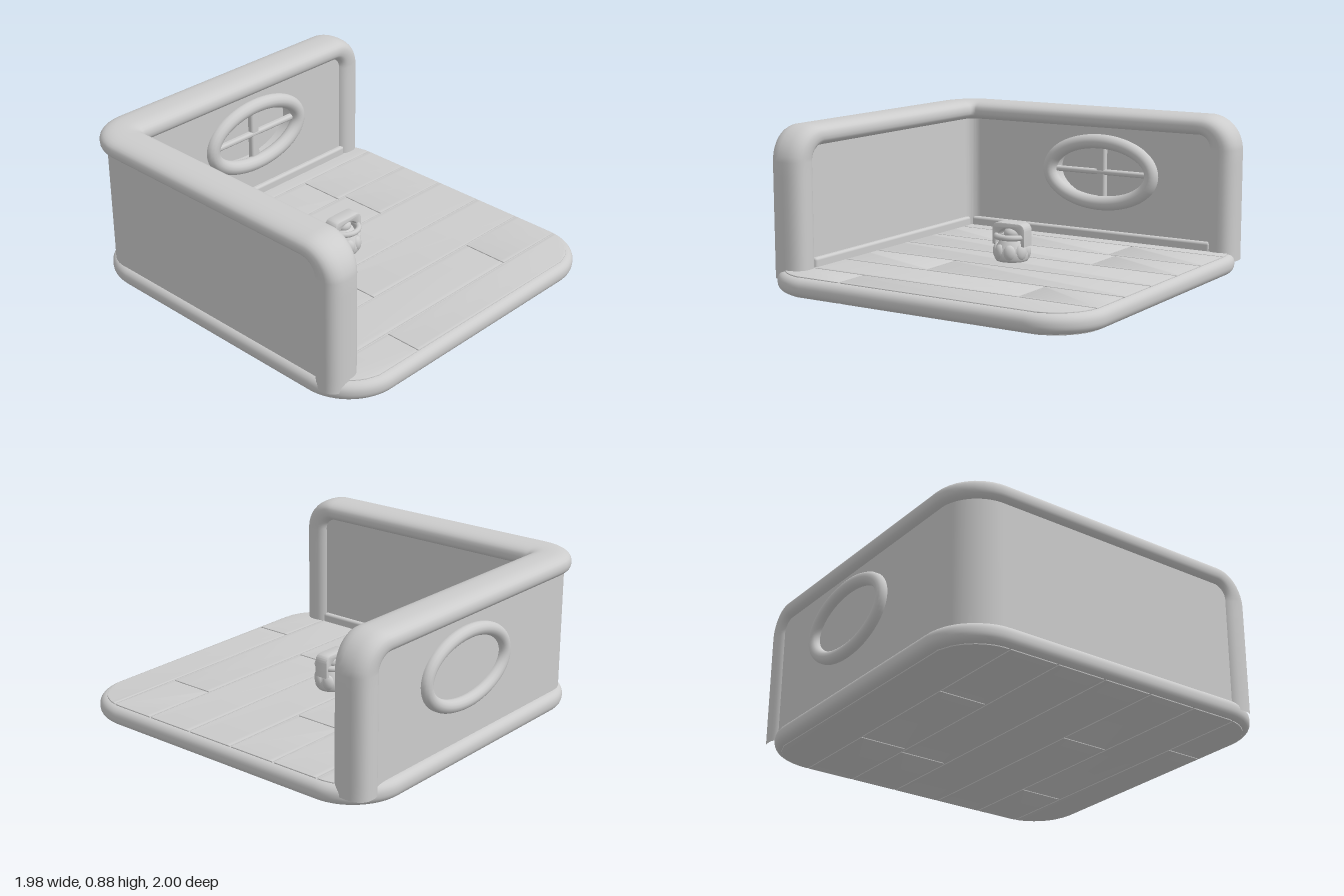
import * as THREE from 'three';
import { toCreasedNormals } from 'three/addons/utils/BufferGeometryUtils.js';
import { RoundedBoxGeometry } from 'three/addons/geometries/RoundedBoxGeometry.js';

const HX = 0.985, HZ = 1.0, CORNER = 0.3;   // floor half sizes and corner radius
const WALL = 0.875, BEND = 0.14;            // wall centre line and its corner radius
const C = WALL - BEND;

export function createModel() {
  const root = new THREE.Group();
  root.name = 'room';
  const clay = new THREE.MeshStandardMaterial({ color: 0xcccccc });
  clay.name = 'grey clay';

  const add = (name, geo, parent = root) => {
    const m = new THREE.Mesh(geo, clay);
    m.name = name;
    parent.add(m);
    return m;
  };
  // Extrude a plan (x, -z) upward from y0 to y1 with a rounded edge
  const slab = (shape, y0, y1, bevel, segs) => {
    const g = new THREE.ExtrudeGeometry(shape, {
      depth: y1 - y0 - 2 * bevel, bevelEnabled: bevel > 0, bevelThickness: bevel,
      bevelSize: bevel, bevelOffset: -bevel, bevelSegments: segs, curveSegments: 12,
    });
    g.rotateX(-Math.PI / 2).translate(0, y0 + bevel, 0);
    return toCreasedNormals(g, 0.7);
  };

  // Floor slab
  const plan = new THREE.Shape();
  const corner = (sx, sz, a) => plan.absarc(sx * (HX - CORNER), sz * (HZ - CORNER), CORNER, a, a + Math.PI / 2, false);
  corner(1, 1, 0); corner(-1, 1, Math.PI / 2); corner(-1, -1, Math.PI); corner(1, -1, Math.PI * 1.5);
  add('floorSlab', slab(plan, 0.005, 0.109, 0.046, 6));

  // Floor planks, rows from back to front with their joints, on both faces
  const IN = 0.04;
  const halfWidth = (z) => {
    const d = Math.max(0, Math.abs(z) - (HZ - CORNER)), r = CORNER - IN;
    return HX - CORNER + Math.sqrt(Math.max(0, r * r - d * d));
  };
  const rows = [-0.96, -0.69, -0.405, -0.115, 0.178, 0.467, 0.742, 0.96];
  const joints = [[], [-0.36, 0.38], [0.43], [], [-0.25], [0.5], [-0.45]];
  const planks = new THREE.Group();
  planks.name = 'planks';
  root.add(planks);
  joints.forEach((cuts, i) => {
    const xs = [-2, ...cuts, 2], gap = 0.005;
    for (let k = 0; k < xs.length - 1; k++) {
      const left = [], right = [];
      for (let j = 0; j <= 10; j++) {
        const z = THREE.MathUtils.lerp(rows[i] + gap, rows[i + 1] - gap, j / 10), w = halfWidth(z);
        left.push(new THREE.Vector2(Math.max(xs[k] + gap, -w), -z));
        right.unshift(new THREE.Vector2(Math.min(xs[k + 1] - gap, w), -z));
      }
      const shape = new THREE.Shape([...left, ...right]);
      add('plankTop', slab(shape, 0.104, 0.115, 0.005, 2), planks);
      add('plankUnderside', slab(shape, 0, 0.011, 0.005, 2), planks);
    }
  });

  // Back wall with an oval window opening
  const WX = 0.105, WY = 0.507;
  const back = new THREE.Shape([[-C, 0.09], [0.87, 0.09], [0.87, 0.82], [-C, 0.82]].map((p) => new THREE.Vector2(...p)));
  back.holes.push(new THREE.Path().absellipse(WX, WY, 0.31, 0.18, 0, Math.PI * 2, true));
  add('backWall', toCreasedNormals(new THREE.ExtrudeGeometry(back,
    { depth: 0.15, bevelEnabled: false, curveSegments: 48 }).translate(0, 0, -0.955), 0.6));

  // Left wall with the rounded room corner
  const side = new THREE.Shape();
  side.moveTo(-WALL - 0.08, -0.795);
  side.lineTo(-WALL + 0.07, -0.795);
  side.lineTo(-WALL + 0.07, C);
  side.absarc(-C, C, BEND - 0.07, Math.PI, Math.PI / 2, true);
  side.lineTo(-C, WALL + 0.08);
  side.absarc(-C, C, BEND + 0.08, Math.PI / 2, Math.PI, false);
  add('leftWall', slab(side, 0.09, 0.82, 0, 1));

  // Point and inward normal on the bent wall at distance s from its right end
  const L1 = 0.87 + C, LA = BEND * Math.PI / 2, L2 = 0.795 + C, S = L1 + LA + L2;
  const onWall = (s, y) => {
    if (s < L1) return { p: new THREE.Vector3(0.87 - s, y, -WALL), n: new THREE.Vector3(0, 0, 1) };
    if (s > L1 + LA) return { p: new THREE.Vector3(-WALL, y, -C + s - L1 - LA), n: new THREE.Vector3(1, 0, 0) };
    const a = (s - L1) / BEND, n = new THREE.Vector3(Math.sin(a), 0, Math.cos(a));
    return { p: new THREE.Vector3(-C, y, -C).addScaledVector(n, -BEND), n };
  };

  // Padded frame: post, rail round the corner, post
  const TOP = 0.822, R = 0.13, path = [];
  const postSize = [0.104, 0.085], railSize = [0.118, 0.06];
  const put = (s, y, k) => path.push({ ...onWall(s, y), k });
  for (let i = 0; i < 8; i++) put(0, THREE.MathUtils.lerp(0.06, TOP - R, i / 8), 0);
  for (let i = 0; i < 10; i++) {
    const a = i / 10 * Math.PI / 2;
    put(R - R * Math.cos(a), TOP - R + R * Math.sin(a), i / 10);
  }
  for (let i = 0; i <= 120; i++) put(THREE.MathUtils.lerp(R, S - R, i / 120), TOP, 1);
  for (let i = 1; i <= 10; i++) {
    const a = i / 10 * Math.PI / 2;
    put(S - R + R * Math.sin(a), TOP - R + R * Math.cos(a), 1 - i / 10);
  }
  for (let i = 1; i <= 8; i++) put(S, THREE.MathUtils.lerp(TOP - R, 0.06, i / 8), 0);

  const N = 28, pos = [], idx = [];
  const soft = (v) => Math.sign(v) * Math.abs(v) ** 0.8;
  path.forEach(({ p, n, k }, i) => {
    const t = path[Math.min(i + 1, path.length - 1)].p.clone().sub(path[Math.max(i - 1, 0)].p).normalize();
    const b = t.clone().cross(n).normalize();
    const hw = THREE.MathUtils.lerp(postSize[0], railSize[0], k), hh = THREE.MathUtils.lerp(postSize[1], railSize[1], k);
    for (let j = 0; j < N; j++) {
      const a = j / N * Math.PI * 2;
      const v = p.clone().addScaledVector(n, hw * soft(Math.cos(a))).addScaledVector(b, hh * soft(Math.sin(a)));
      pos.push(v.x, v.y, v.z);
      if (i === path.length - 1) continue;
      const A = i * N + j, B = i * N + (j + 1) % N;
      idx.push(A, B, B + N, A, B + N, A + N);
    }
  });
  const frame = new THREE.BufferGeometry();
  frame.setAttribute('position', new THREE.Float32BufferAttribute(pos, 3));
  frame.setIndex(idx);
  frame.computeVertexNormals();
  add('wallFrame', frame);

  // Skirting along the foot of both walls
  add('backSkirting', new RoundedBoxGeometry(1.6, 0.07, 0.04, 3, 0.015)).position.set(0.02, 0.13, -0.8);
  add('leftSkirting', new RoundedBoxGeometry(0.04, 0.07, 1.5, 3, 0.015)).position.set(-0.8, 0.13, -0.02);

  // Oval window: inner and outer rings, blind pane, cross bars
  const win = new THREE.Group();
  win.name = 'window';
  win.position.set(WX, WY, 0);
  root.add(win);
  const ring = (rx, ry, r) => {
    const pts = Array.from({ length: 40 }, (_, i) => {
      const a = i / 40 * Math.PI * 2;
      return new THREE.Vector3(rx * Math.cos(a), ry * Math.sin(a), 0);
    });
    return new THREE.TubeGeometry(new THREE.CatmullRomCurve3(pts, true), 80, r, 14, true);
  };
  add('innerRing', ring(0.337, 0.182, 0.042), win).position.z = -0.8;
  add('outerRing', ring(0.335, 0.188, 0.036), win).position.z = -0.963;
  const pane = new THREE.CylinderGeometry(1, 1, 0.06, 64).rotateX(Math.PI / 2).scale(0.315, 0.185, 1);
  add('pane', pane, win).position.z = -0.925;
  add('crossBar', new RoundedBoxGeometry(0.62, 0.032, 0.04, 3, 0.014), win).position.z = -0.82;
  add('uprightBar', new RoundedBoxGeometry(0.06, 0.36, 0.04, 3, 0.014), win).position.z = -0.822;

  // Small basket in the middle of the floor
  const basket = new THREE.Group();
  basket.name = 'basket';
  root.add(basket);
  const profile = [[0, 0.112], [0.085, 0.112], [0.096, 0.13], [0.098, 0.16], [0.088, 0.195], [0.07, 0.22], [0.055, 0.25], [0, 0.262]];
  add('basketBody', new THREE.LatheGeometry(profile.map((p) => new THREE.Vector2(...p)), 32), basket);
  for (let i = 0; i < 8; i++) {
    const a = (i + 0.5) / 8 * Math.PI * 2;
    const lobe = add('basketLobe', new THREE.SphereGeometry(1, 14, 10), basket);
    lobe.scale.set(0.036, 0.045, 0.026);
    lobe.position.set(0.08 * Math.sin(a), 0.165, 0.08 * Math.cos(a));
    lobe.rotation.y = a;
  }
  const rim = add('basketRim', new THREE.TorusGeometry(0.086, 0.016, 10, 36).rotateX(Math.PI / 2), basket);
  rim.position.y = 0.25;
  // Flat strap handle arching from side to side
  const arch = new THREE.Shape();
  arch.moveTo(-0.104, 0.2);
  arch.lineTo(-0.104, 0.285);
  arch.quadraticCurveTo(-0.1, 0.325, -0.06, 0.325);
  arch.lineTo(0.06, 0.325);
  arch.quadraticCurveTo(0.1, 0.325, 0.104, 0.285);
  arch.lineTo(0.104, 0.2);
  arch.lineTo(0.08, 0.2);
  arch.quadraticCurveTo(0.08, 0.295, 0, 0.295);
  arch.quadraticCurveTo(-0.08, 0.295, -0.08, 0.2);
  add('basketHandle', toCreasedNormals(new THREE.ExtrudeGeometry(arch, {
    depth: 0.07, bevelThickness: 0.006, bevelSize: 0.006, bevelOffset: -0.006, bevelSegments: 2,
  }).translate(0, 0, -0.035), 0.7), basket);
  const knob = add('basketKnob', new THREE.SphereGeometry(0.045, 20, 12), basket);
  knob.position.y = 0.265;
  knob.scale.y = 0.8;

  return root;
}
